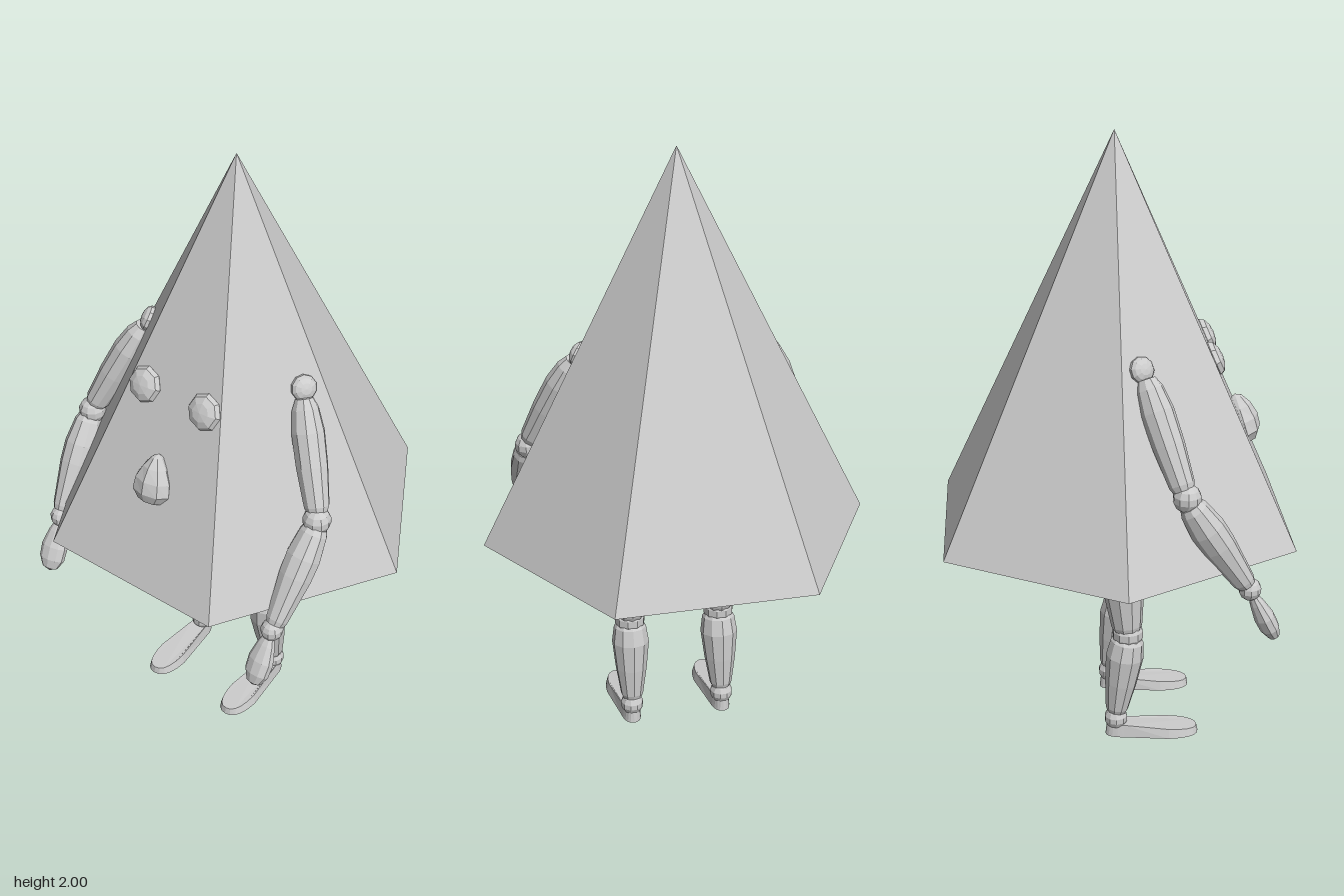
import * as THREE from 'three';

const V = (x, y, z) => new THREE.Vector3(x, y, z);
const UP = V(0, 1, 0);

export function createModel() {
  const model = new THREE.Group();
  const mat = new THREE.MeshStandardMaterial({ color: 0xcccccc, flatShading: true });

  const add = (parent, name, geo, pos) => {
    const mesh = new THREE.Mesh(geo, mat);
    mesh.name = name;
    mesh.position.copy(pos);
    parent.add(mesh);
    return mesh;
  };

  // Turned limb segment from a to b; profile rows are [fraction along, radius]
  const limb = (parent, name, a, b, profile, sides = 10) => {
    const dir = b.clone().sub(a);
    const len = dir.length();
    const pts = profile.map(([t, r]) => new THREE.Vector2(r, t * len));
    const mesh = add(parent, name, new THREE.LatheGeometry(pts, sides), a);
    mesh.quaternion.setFromUnitVectors(UP, dir.normalize());
    return mesh;
  };

  // Faceted joint or flattened pad, its pole turned along axis
  const ball = (parent, name, pos, r, flat = 1, axis = UP, sides = 10, rows = 7) => {
    const geo = new THREE.SphereGeometry(r, sides, rows).scale(1, flat, 1);
    const mesh = add(parent, name, geo, pos);
    mesh.quaternion.setFromUnitVectors(UP, axis.clone().normalize());
    return mesh;
  };

  // Six-sided pyramid body with corners on the x axis
  const body = new THREE.CylinderGeometry(0, 0.636, 1.27, 6, 1, false, Math.PI / 6);
  add(model, 'pyramidBody', body, V(0, 1.365, 0));

  // Nose: a faceted drop, narrow at the top, lying on the front face
  const faceNormal = V(0, 0.55, 1.27).normalize();
  const nose = new THREE.SphereGeometry(1, 8, 6);
  const np = nose.attributes.position;
  for (let i = 0; i < np.count; i++) {
    const y = np.getY(i);
    const k = 0.78 - 0.4 * y;
    np.setXYZ(i, np.getX(i) * 0.078 * k, y * 0.084, np.getZ(i) * 0.055 * (0.95 - 0.2 * y));
  }
  add(model, 'nose', nose, V(0, 1.063, 0.412)).rotation.x = -0.3;

  // Foot: rounded sole outline, raised and sloping down towards the toe
  const sole = new THREE.Shape();
  sole.moveTo(-0.034, 0.02);
  sole.quadraticCurveTo(-0.03, -0.04, 0, -0.04);
  sole.quadraticCurveTo(0.03, -0.04, 0.034, 0.02);
  sole.lineTo(0.054, 0.17);
  sole.quadraticCurveTo(0.052, 0.27, 0, 0.27);
  sole.quadraticCurveTo(-0.052, 0.27, -0.054, 0.17);
  sole.closePath();
  const foot = new THREE.ExtrudeGeometry(sole, { depth: 1, bevelEnabled: false, curveSegments: 5 });
  const fp = foot.attributes.position;
  for (let i = 0; i < fp.count; i++) {
    const z = fp.getY(i);
    const top = fp.getZ(i) > 0.5;
    const x = fp.getX(i) * (top ? 0.86 : 1);
    const h = z < 0.03 ? 0.043 : 0.043 - (z - 0.03) * 0.08;
    // Mirrored in x so the faces keep pointing outwards
    fp.setXYZ(i, -x, top ? h : 0, top ? 0.11 + (z - 0.11) * 0.97 : z);
  }
  // Swapping y and z together with the x mirror keeps the winding

  for (const s of [1, -1]) {
    const side = s > 0 ? 'left' : 'right';
    const P = (x, y, z) => V(s * x, y, z);

    // Eye
    ball(model, side + 'Eye', P(0.115, 1.305, 0.304), 0.059, 0.48, faceNormal, 8, 6);

    // Arm, reaching down and forward
    const arm = new THREE.Group();
    arm.name = side + 'Arm';
    model.add(arm);
    ball(arm, 'shoulder', P(0.302, 1.338, 0.062), 0.042, 0.6, P(0.8, 0.38, 0.46));
    limb(arm, 'upperArm', P(0.312, 1.315, 0.074), P(0.447, 1.005, 0.178),
      [[0, 0], [0.01, 0.028], [0.1, 0.042], [0.3, 0.052], [0.6, 0.05], [0.95, 0.04], [1, 0.033], [1, 0]]);
    ball(arm, 'elbow', P(0.453, 0.982, 0.188), 0.045);
    limb(arm, 'forearm', P(0.457, 0.962, 0.197), P(0.44, 0.683, 0.376),
      [[0, 0], [0, 0.036], [0.06, 0.045], [0.3, 0.056], [0.5, 0.054], [0.95, 0.036], [1, 0.03], [1, 0]]);
    ball(arm, 'wrist', P(0.437, 0.665, 0.388), 0.036);
    const hand = limb(arm, 'hand', P(0.435, 0.648, 0.395), P(0.428, 0.488, 0.474),
      [[0, 0], [0.02, 0.018], [0.2, 0.032], [0.5, 0.046], [0.75, 0.044], [0.93, 0.028], [1, 0]]);
    hand.scale.z = 0.7;

    // Leg
    const leg = new THREE.Group();
    leg.name = side + 'Leg';
    model.add(leg);
    ball(leg, 'hip', P(0.13, 0.705, 0.008), 0.066);
    limb(leg, 'thigh', P(0.155, 0.39, 0.032), P(0.133, 0.67, 0.01),
      [[0, 0], [0, 0.046], [0.05, 0.051], [0.5, 0.068], [0.9, 0.075], [0.98, 0.073], [1, 0.062], [1, 0]]);
    ball(leg, 'knee', P(0.154, 0.373, 0.034), 0.052);
    limb(leg, 'shin', P(0.157, 0.085, -0.003), P(0.154, 0.358, 0.034),
      [[0, 0], [0, 0.032], [0.05, 0.038], [0.4, 0.053], [0.75, 0.063], [0.95, 0.055], [1, 0.046], [1, 0]]);
    ball(leg, 'ankle', P(0.158, 0.06, -0.005), 0.039);
    add(leg, 'foot', foot, P(0.158, 0, 0));
  }
  return model;
}
